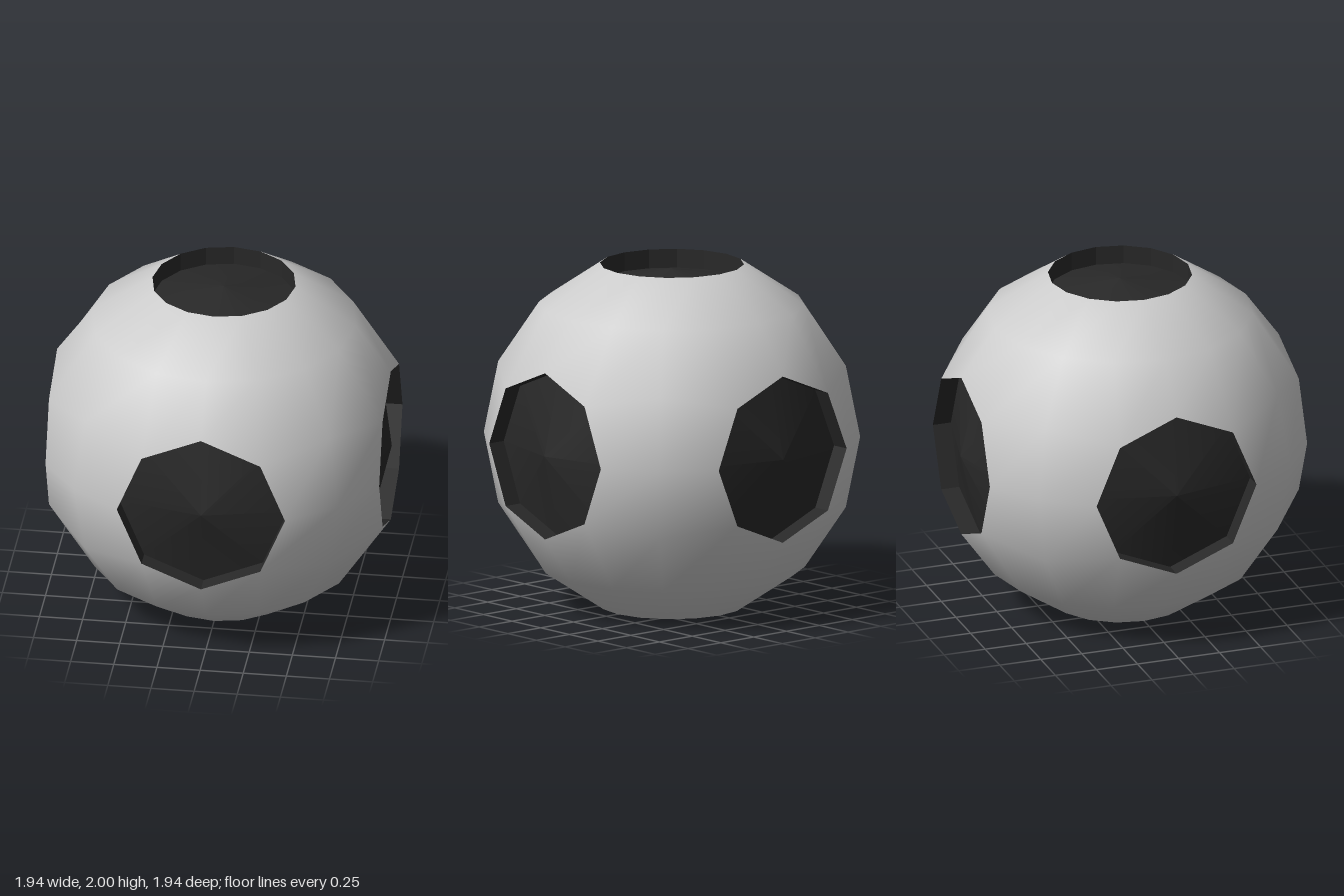
import * as THREE from 'three';

const R = 1 / Math.cos(Math.PI / 8); // sphere radius, so the polar rims lie at +-1
const STEP = Math.PI / 8;            // 16 columns, rows every 22.5 degrees
const SIDE_RADIUS = 0.487;           // octagonal side sockets
const SIDE_RIM = Math.sqrt(R * R - SIDE_RADIUS * SIDE_RADIUS);
const POLE_RADIUS = R * Math.sin(STEP);
const DEPTH = 0.11;

// Column offset from the nearest side socket: -2, -1, 0 or 1
const offset = (j) => ((j + 2) % 4) - 2;

// Grid point of the shell; points around a side socket are rounded into an octagon
function shellPoint(i, j) {
  const k = offset(j);
  if (Math.abs(i) <= 1 && k !== -2) {
    const a = Math.atan2(i, k);
    return new THREE.Vector3(Math.cos(a) * SIDE_RADIUS, Math.sin(a) * SIDE_RADIUS, SIDE_RIM)
      .applyAxisAngle(new THREE.Vector3(0, 1, 0), (j - k) * STEP);
  }
  const lat = i * STEP, lon = j * STEP;
  return new THREE.Vector3(
    R * Math.cos(lat) * Math.sin(lon), R * Math.sin(lat), R * Math.cos(lat) * Math.cos(lon));
}

// Smooth ball shell with six openings
function shellGeometry() {
  const positions = [], normals = [], index = [];
  for (let i = -3; i <= 3; i++) {
    for (let j = 0; j < 16; j++) {
      const p = shellPoint(i, j);
      positions.push(p.x, p.y, p.z);
      p.normalize();
      normals.push(p.x, p.y, p.z);
      const inSocket = (i === -1 || i === 0) && (offset(j) === -1 || offset(j) === 0);
      if (i === 3 || inSocket) continue;
      const row = (i + 3) * 16, next = (j + 1) % 16;
      const a = row + j, b = row + next, c = b + 16, d = a + 16;
      index.push(a, b, c, a, c, d);
    }
  }
  const geometry = new THREE.BufferGeometry();
  geometry.setAttribute('position', new THREE.Float32BufferAttribute(positions, 3));
  geometry.setAttribute('normal', new THREE.Float32BufferAttribute(normals, 3));
  geometry.setIndex(index);
  return geometry;
}

// Recess facing +y: inward-facing wall and a slightly domed floor
function makeSocket(name, radius, rim, sides, material) {
  const socket = new THREE.Group();
  socket.name = name;

  let wall = new THREE.CylinderGeometry(radius, radius, DEPTH, sides, 1, true);
  wall.scale(-1, 1, 1); // mirroring turns the faces inward
  wall = wall.toNonIndexed();
  wall.computeVertexNormals();
  const wallMesh = new THREE.Mesh(wall, material);
  wallMesh.name = 'socketWall';
  wallMesh.position.y = rim - DEPTH / 2;

  const dome = R - rim;
  const floorMesh = new THREE.Mesh(
    new THREE.ConeGeometry(radius, dome, sides, 1, true), material);
  floorMesh.name = 'socketFloor';
  floorMesh.position.y = rim - DEPTH + dome / 2;

  socket.add(wallMesh, floorMesh);
  return socket;
}

export function createModel() {
  const shellGrey = new THREE.MeshStandardMaterial({ color: 0xcccccc });
  shellGrey.name = 'light grey';
  const socketBlack = new THREE.MeshStandardMaterial({ color: 0x282828 });
  socketBlack.name = 'dark grey';

  const ball = new THREE.Group();
  ball.name = 'ball';
  ball.position.y = 1;

  const shell = new THREE.Mesh(shellGeometry(), shellGrey);
  shell.name = 'shell';
  ball.add(shell);

  // Four side sockets
  ['frontSocket', 'leftSocket', 'backSocket', 'rightSocket'].forEach((name, n) => {
    const socket = makeSocket(name, SIDE_RADIUS, SIDE_RIM, 8, socketBlack);
    socket.rotation.set(Math.PI / 2, n * Math.PI / 2, 0, 'YXZ');
    ball.add(socket);
  });

  // Top and bottom sockets
  ['topSocket', 'bottomSocket'].forEach((name, n) => {
    const socket = makeSocket(name, POLE_RADIUS, 1, 16, socketBlack);
    socket.rotation.x = n * Math.PI;
    ball.add(socket);
  });

  const model = new THREE.Group();
  model.name = 'socketBall';
  model.add(ball);
  return model;
}
